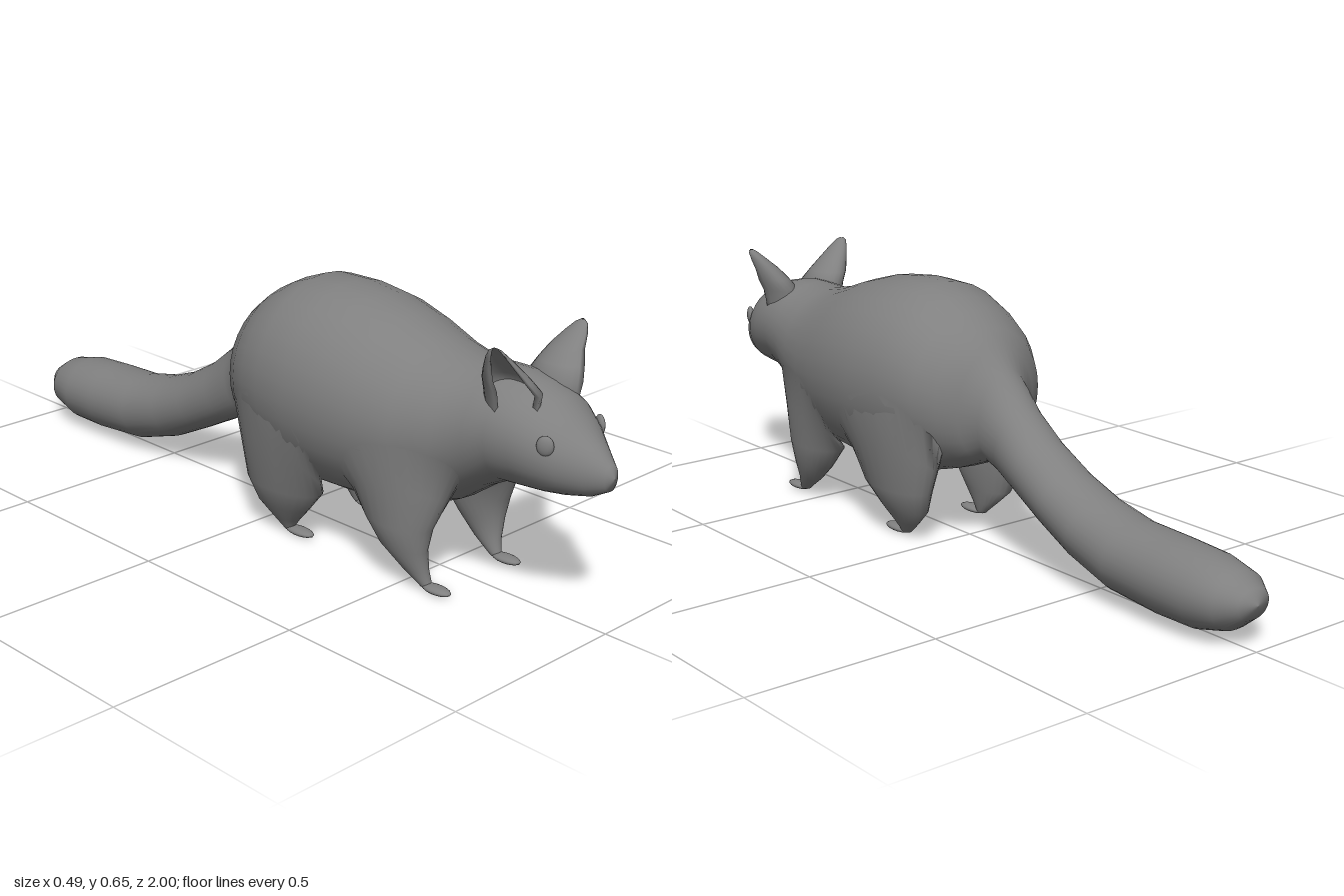
import * as THREE from 'three';

const material = new THREE.MeshStandardMaterial({ color: 0x808080, side: THREE.DoubleSide });

// Skin a list of equal-length closed rings of [x, y, z] with smooth normals.
// rootNormals replaces the normals of the first ring so it shades into another part.
function loft(name, rings, rootNormals = []) {
  const n = rings[0].length;
  const index = [];
  for (let j = 0; j < rings.length - 1; j++) {
    for (let i = 0; i < n; i++) {
      const a = j * n + i, b = j * n + (i + 1) % n;
      index.push(a, b, a + n, b, b + n, a + n);
    }
  }
  const geometry = new THREE.BufferGeometry();
  geometry.setAttribute('position', new THREE.Float32BufferAttribute(rings.flat(2), 3));
  geometry.setIndex(index);
  geometry.computeVertexNormals();
  rootNormals.forEach((v, i) => geometry.attributes.normal.setXYZ(i, ...v));
  const mesh = new THREE.Mesh(geometry, material);
  mesh.name = name;
  return mesh;
}

// Mirror a ring across x for the right side, keeping the faces outward.
const onSide = (ring, s) => (s > 0 ? ring : ring.map(([x, y, z]) => [-x, y, z]).reverse());

// Ellipsoid part.
function blob(name, position, scale, turn = 0) {
  const mesh = new THREE.Mesh(new THREE.SphereGeometry(1, 16, 10), material);
  mesh.name = name;
  mesh.position.set(...position);
  mesh.scale.set(...scale);
  mesh.rotation.y = turn;
  return mesh;
}

// Head and trunk: [z, top y, bottom y, half width]
const TRUNK = [
  [1.0, 0.374, 0.374, 0], [0.99, 0.405, 0.343, 0.024], [0.95, 0.442, 0.322, 0.054],
  [0.9, 0.485, 0.313, 0.092], [0.85, 0.525, 0.308, 0.118], [0.8, 0.547, 0.306, 0.132],
  [0.74, 0.56, 0.303, 0.141], [0.68, 0.56, 0.272, 0.148], [0.6, 0.556, 0.215, 0.168],
  [0.5, 0.577, 0.168, 0.2], [0.4, 0.612, 0.154, 0.225], [0.3, 0.64, 0.148, 0.241],
  [0.2, 0.652, 0.145, 0.246], [0.1, 0.651, 0.157, 0.238], [0.03, 0.625, 0.177, 0.22],
  [-0.02, 0.598, 0.192, 0.202], [-0.07, 0.56, 0.212, 0.168],
];

// Rump and tail, with tilted sections: [top z, top y, bottom z, bottom y, half width]
const TAIL = [
  [-0.105, 0.52, -0.1, 0.224, 0.122],
  [-0.145, 0.47, -0.12, 0.226, 0.082], [-0.22, 0.39, -0.165, 0.21, 0.078],
  [-0.3, 0.325, -0.235, 0.178, 0.083], [-0.4, 0.267, -0.34, 0.125, 0.09],
  [-0.5, 0.23, -0.455, 0.07, 0.095], [-0.62, 0.204, -0.59, 0.028, 0.1],
  [-0.75, 0.199, -0.75, 0.015, 0.103], [-0.86, 0.192, -0.86, 0.016, 0.102],
  [-0.94, 0.173, -0.94, 0.036, 0.085], [-0.985, 0.145, -0.985, 0.072, 0.05],
  [-1.0, 0.109, -1.0, 0.109, 0],
];

// Point of a section at angle a from the top; flanks are a little fuller below the middle.
function sectionPoint([zt, yt, zb, yb, w], a) {
  const c = Math.cos(a), s = Math.sin(a), k = (1 + c) / 2;
  const x = Math.sign(s) * Math.pow(Math.abs(s), c < 0 ? 0.85 : 1) * w;
  return [x, yb + (yt - yb) * k, zb + (zt - zb) * k];
}

// Point and outward normal anywhere on the trunk.
function trunkPoint(z, a) {
  const i = Math.max(1, TRUNK.findIndex(row => row[0] <= z));
  const p = TRUNK[i - 1], q = TRUNK[i];
  const t = (z - p[0]) / (q[0] - p[0]);
  const [, yt, yb, w] = p.map((v, k) => v + (q[k] - v) * t);
  return sectionPoint([z, yt, z, yb, w], a);
}

function trunkNormal(z, a) {
  const e = 0.02, at = (dz, da) => new THREE.Vector3(...trunkPoint(z + dz, a + da));
  const around = at(0, e).sub(at(0, -e)), back = at(-e, 0).sub(at(e, 0));
  return around.cross(back).normalize().toArray();
}

function bodyRings() {
  const sections = [...TRUNK.map(([z, t, b, w]) => [z, t, z, b, w]), ...TAIL];
  return sections.map(section =>
    Array.from({ length: 32 }, (_, i) => sectionPoint(section, (i / 32) * Math.PI * 2)));
}

// Legs: root is the patch on the trunk they grow from, [z, angle, z radius, angle radius];
// rings run from thigh to ankle, [y, x, z, x radius, z radius].
const FRONT_LEG = {
  root: [0.51, 2.2, 0.15, 0.58],
  rings: [
    [0.16, 0.138, 0.49, 0.056, 0.1], [0.1, 0.138, 0.508, 0.042, 0.068],
    [0.05, 0.13, 0.538, 0.027, 0.038], [0.022, 0.126, 0.562, 0.018, 0.02],
    [0.01, 0.125, 0.57, 0.012, 0.014],
  ],
};
const HIND_LEG = {
  root: [0.105, 2.2, 0.165, 0.62],
  rings: [
    [0.14, 0.147, 0.11, 0.06, 0.122], [0.08, 0.138, 0.095, 0.042, 0.083],
    [0.04, 0.13, 0.097, 0.026, 0.042], [0.02, 0.126, 0.1, 0.018, 0.022],
    [0.008, 0.125, 0.105, 0.012, 0.014],
  ],
};

function leg(name, { root: [rz, ra, dz, da], rings }, s) {
  const around = f => onSide(Array.from({ length: 24 }, (_, i) => {
    const t = (i / 24) * Math.PI * 2;
    return f(Math.cos(t), Math.sin(t));
  }), s);
  const root = around((c, n) => trunkPoint(rz + dz * n, ra - da * c));
  const normals = around((c, n) => trunkNormal(rz + dz * n, ra - da * c));
  const limb = rings.map(([y, x, z, rx, rzz]) => around((c, n) => [x + rx * c, y, z + rzz * n]));
  const middle = root.map((p, i) => p.map((v, k) => (v + limb[0][i][k]) / 2));
  return loft(name, [root, middle, ...limb], normals);
}

// Cupped ear from tip to base, open forward and outward: [y, x, z, x radius, z radius]
const EAR = [
  [0.655, 0.152, 0.775, 0.004, 0.005], [0.648, 0.149, 0.775, 0.013, 0.017],
  [0.63, 0.137, 0.772, 0.022, 0.03], [0.6, 0.115, 0.767, 0.035, 0.046],
  [0.57, 0.097, 0.767, 0.046, 0.062], [0.54, 0.077, 0.768, 0.051, 0.075],
  [0.495, 0.075, 0.766, 0.045, 0.068],
];

function ear(name, s) {
  const steps = 16, start = 1.6, sweep = 4.5;
  const rings = EAR.map(([y, cx, cz, rx, rz]) => {
    const point = (k, r) => {
      const a = start + (k / steps) * sweep;
      return [cx + r * rx * Math.cos(a), y, cz + r * rz * Math.sin(a)];
    };
    const ring = [];
    for (let k = 0; k <= steps; k++) ring.push(point(k, 1));
    for (let k = steps; k >= 0; k--) ring.push(point(k, 0.8));
    return onSide(ring, s);
  });
  return loft(name, rings);
}

export function createModel() {
  const model = new THREE.Group();
  model.name = 'bushyTailedAnimal';
  model.add(loft('bodyAndTail', bodyRings()));

  for (const [side, s] of [['left', 1], ['right', -1]]) {
    model.add(
      leg(side + 'FrontLeg', FRONT_LEG, s),
      leg(side + 'HindLeg', HIND_LEG, s),
      blob(side + 'FrontFoot', [s * 0.125, 0.012, 0.603], [0.021, 0.01, 0.043]),
      blob(side + 'HindFoot', [s * 0.125, 0.011, 0.14], [0.021, 0.01, 0.047]),
      ear(side + 'Ear', s),
      blob(side + 'Eye', [s * 0.096, 0.444, 0.88], [0.01, 0.024, 0.02], s * -0.5),
    );
  }
  return model;
}
